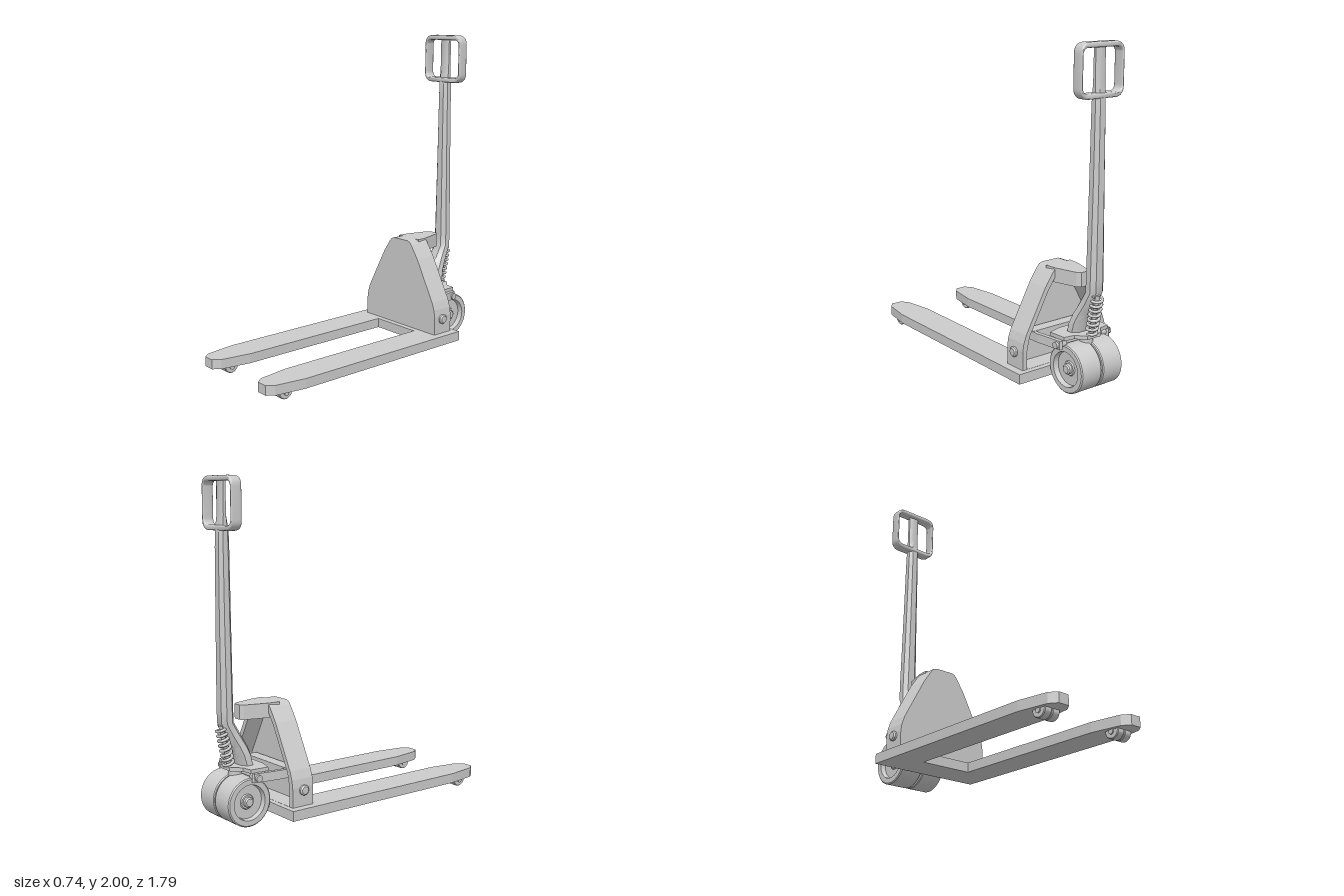
import * as THREE from 'three';
import { toCreasedNormals } from 'three/addons/utils/BufferGeometryUtils.js';

const mat = new THREE.MeshStandardMaterial({ color: 0xcccccc, side: THREE.DoubleSide });

export function createModel() {
  const root = new THREE.Group();
  const add = (name, geo, x = 0, y = 0, z = 0) => {
    const m = new THREE.Mesh(geo, mat);
    m.name = name;
    m.position.set(x, y, z);
    root.add(m);
    return m;
  };
  const poly = (pts) => new THREE.Shape(pts.map(([x, y]) => new THREE.Vector2(x, y)));
  // closed outline from its +x half
  const mirror = (half) => [...half, ...half.map(([x, y]) => [-x, y]).reverse()];
  const extrude = (shape, depth, opts = {}) =>
    new THREE.ExtrudeGeometry(shape, { depth, bevelEnabled: false, ...opts });
  // flat plate drawn in (x, z), from y0 upwards
  const plate = (name, pts, y0, h) => {
    const g = extrude(poly(pts.map(([x, z]) => [x, -z])), h);
    g.rotateX(-Math.PI / 2);
    return add(name, g, 0, y0, 0);
  };
  const cylX = (name, r, len, x, y, z, seg = 32) =>
    add(name, new THREE.CylinderGeometry(r, r, len, seg).rotateZ(Math.PI / 2), x, y, z);
  // solid of revolution around x
  const latheX = (name, pts, x, y, z, seg = 48) =>
    add(name, toCreasedNormals(new THREE.LatheGeometry(
      pts.map(([r, h]) => new THREE.Vector2(r, h)), seg).rotateZ(-Math.PI / 2), 0.6), x, y, z);

  // U-shaped fork frame with tapered tips
  plate('forks', mirror([
    [0.17, -0.39], [0.17, 0.66], [0.2, 0.85], [0.235, 0.895], [0.305, 0.895],
    [0.34, 0.85], [0.37, 0.66], [0.37, -0.605],
  ]), 0.06, 0.06);

  // tower: front panel plus a rim open to the back
  const outer = mirror([[0.32, 0.12], [0.32, 0.235], [0.313, 0.28], [0.295, 0.33],
    [0.155, 0.59], [0.1, 0.67], [0.083, 0.688], [0.06, 0.695]]);
  const inner = mirror([[0.288, 0.121], [0.288, 0.235], [0.27, 0.315],
    [0.128, 0.575], [0.075, 0.65], [0.055, 0.662]]);
  add('towerPanel', extrude(poly(outer), 0.03), 0, 0, -0.457);
  const rim = poly(outer);
  rim.holes.push(poly(inner));
  add('towerRim', extrude(rim, 0.115), 0, 0, -0.572);
  add('towerCrossbar', new THREE.BoxGeometry(0.42, 0.055, 0.07), 0, 0.297, -0.5);

  // bracket reaching back from the tower top
  plate('topBracket', mirror([[0.092, -0.5], [0.085, -0.575], [0.045, -0.715], [0.025, -0.735]]), 0.608, 0.087);

  for (const s of [1, -1]) {
    // tower bolt with a domed head
    latheX('towerBolt', [[0.03, 0], [0.03, s * 0.016], [0.022, s * 0.024], [0, s * 0.026]], s * 0.315, 0.215, -0.495, 24);

    // link arm and its pin
    plate('linkArm', [[0.195, -0.48], [0.19, -0.575], [0.168, -0.735], [0.178, -0.753],
      [0.192, -0.745], [0.216, -0.575], [0.218, -0.48]].map(([x, z]) => [s * x, z]), 0.27, 0.053);
    cylX('linkPin', 0.02, 0.075, s * 0.172, 0.295, -0.722, 20);

    // steering wheel with a dished side
    latheX('steerWheel', [[0.03, 0], [0.138, 0], [0.143, s * 0.006], [0.143, s * 0.144],
      [0.136, s * 0.15], [0.105, s * 0.15], [0.1, s * 0.118], [0.045, s * 0.118],
      [0.04, s * 0.125], [0.03, s * 0.125]], s * 0.005, 0.147, -0.755);
    latheX('axleCap', [[0.03, -s * 0.03], [0.03, s * 0.01], [0.022, s * 0.017], [0, s * 0.018]],
      s * 0.137, 0.147, -0.755, 24);

    // twin load rollers under each fork tip
    for (const x of [0.242, 0.298])
      latheX('loadRoller', [[0, -0.026], [0.044, -0.026], [0.048, -0.021], [0.048, 0.021], [0.044, 0.026], [0, 0.026]],
        s * x, 0.058, 0.765, 32);
    cylX('rollerPin', 0.016, 0.124, s * 0.27, 0.05, 0.765, 16);
  }
  cylX('steerAxle', 0.028, 0.27, 0, 0.147, -0.755, 24);
  add('steerPost', new THREE.CylinderGeometry(0.04, 0.04, 0.07, 24), 0, 0.3, -0.755);

  // plate above the wheels that carries the handle
  plate('yokePlate', mirror([[0.08, -0.615], [0.175, -0.64], [0.168, -0.755], [0.1, -0.765], [0.05, -0.822]]), 0.322, 0.022);

  // handle: chamfered sections [y, zFront, zBack, half width]
  const sections = [
    [0.335, -0.66, -0.745, 0.085], [0.4, -0.672, -0.762, 0.082], [0.45, -0.69, -0.78, 0.07],
    [0.53, -0.735, -0.822, 0.055], [0.6, -0.775, -0.855, 0.05], [0.68, -0.777, -0.857, 0.05],
    [1.2, -0.78, -0.856, 0.042], [1.6, -0.783, -0.854, 0.038], [1.7, -0.785, -0.852, 0.036],
    [1.78, -0.8, -0.84, 0.036], [1.985, -0.803, -0.837, 0.036],
  ];
  const ring = ([y, zf, zb, w]) => {
    const c = (zf + zb) / 2, d = (zf - zb) / 2;
    return [[1, 0.45], [0.5, 1], [-0.5, 1], [-1, 0.45], [-1, -0.45], [-0.5, -1], [0.5, -1], [1, -0.45]]
      .flatMap(([a, b]) => [a * w, y, c + b * d]);
  };
  const idx = [];
  for (let i = 0; i < sections.length - 1; i++)
    for (let j = 0; j < 8; j++) {
      const a = i * 8 + j, b = i * 8 + (j + 1) % 8;
      idx.push(a, a + 8, b, b, a + 8, b + 8);
    }
  const top = (sections.length - 1) * 8;
  for (let j = 1; j < 7; j++) idx.push(0, j, j + 1, top, top + j + 1, top + j);
  // wind the faces outwards
  for (let k = 0; k < idx.length; k += 3) [idx[k + 1], idx[k + 2]] = [idx[k + 2], idx[k + 1]];
  const flip = idx.slice();
  for (let k = 0; k < flip.length; k += 3) {
    const side = k < (sections.length - 1) * 48;
    if (side) [flip[k + 1], flip[k + 2]] = [flip[k + 2], flip[k + 1]];
  }
  const handleGeo = new THREE.BufferGeometry();
  handleGeo.setAttribute('position', new THREE.Float32BufferAttribute(sections.flatMap(ring), 3));
  handleGeo.setIndex(flip);
  add('handleShaft', toCreasedNormals(handleGeo, 0.6));

  // grip loop: rounded frame with soft edges
  const roundRect = (w, y0, y1, r) => {
    const p = new THREE.Shape();
    p.moveTo(-w + r, y0).lineTo(w - r, y0).quadraticCurveTo(w, y0, w, y0 + r)
      .lineTo(w, y1 - r).quadraticCurveTo(w, y1, w - r, y1)
      .lineTo(-w + r, y1).quadraticCurveTo(-w, y1, -w, y1 - r)
      .lineTo(-w, y0 + r).quadraticCurveTo(-w, y0, -w + r, y0);
    return p;
  };
  const grip = roundRect(0.15, 1.702, 1.993, 0.055);
  grip.holes.push(roundRect(0.148, 1.72, 1.976, 0.045));
  const bevel = { bevelEnabled: true, bevelThickness: 0.016, bevelSize: 0.007, bevelSegments: 4, curveSegments: 10 };
  add('gripLoop', toCreasedNormals(extrude(grip, 0.038, bevel), 0.7), 0, 0, -0.837);

  // return spring behind the handle foot
  const a = new THREE.Vector3(0, 0.345, -0.797), b = new THREE.Vector3(0, 0.58, -0.845);
  const axis = b.clone().sub(a).normalize();
  const u = new THREE.Vector3(1, 0, 0), v = axis.clone().cross(u);
  const coil = [];
  for (let i = 0; i <= 128; i++) {
    const t = i / 128, ang = t * 8 * Math.PI * 2;
    coil.push(a.clone().lerp(b, t).addScaledVector(u, 0.03 * Math.cos(ang)).addScaledVector(v, 0.03 * Math.sin(ang)));
  }
  add('spring', new THREE.TubeGeometry(new THREE.CatmullRomCurve3(coil), 320, 0.009, 8));
  const rod = add('springRod', new THREE.CylinderGeometry(0.014, 0.014, 0.25, 16));
  rod.position.copy(a).lerp(b, 0.5);
  rod.quaternion.setFromUnitVectors(new THREE.Vector3(0, 1, 0), axis);

  return root;
}
